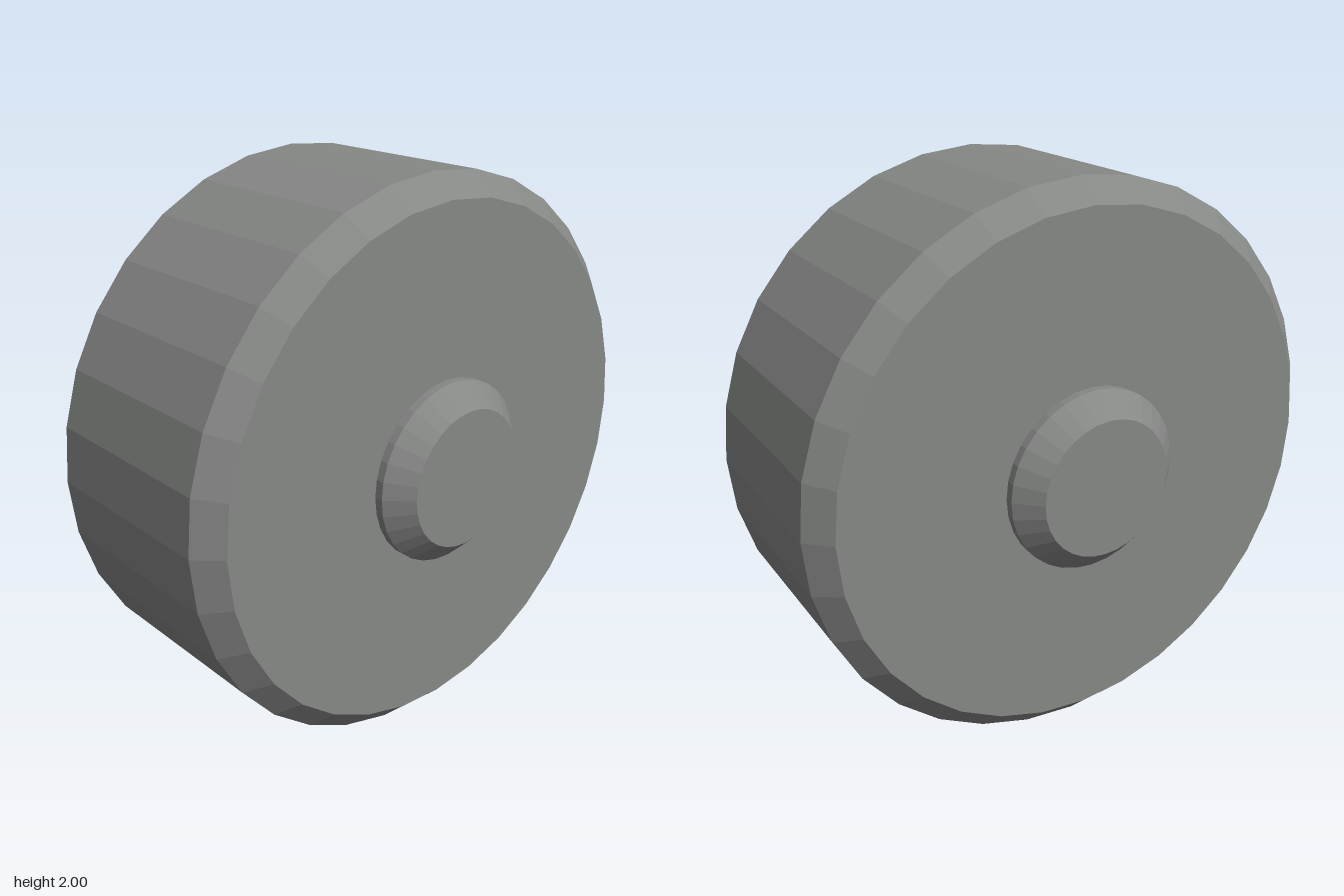
import * as THREE from 'three';

const SIDES = 32;

// Solid of revolution from [radius, height] pairs, listed bottom to top
function turned(name, profile, material) {
  const points = profile.map(([r, h]) => new THREE.Vector2(r, h));
  const mesh = new THREE.Mesh(new THREE.LatheGeometry(points, SIDES), material);
  mesh.name = name;
  return mesh;
}

export function createModel() {
  const group = new THREE.Group();
  group.name = 'wheel';

  const grey = new THREE.MeshStandardMaterial({ color: 0x868886, flatShading: true });
  grey.name = 'grey';

  // Wide wheel with chamfered rims, its axle along x
  const tyre = turned('tyre', [
    [0, -0.43], [0.92, -0.43], [1, -0.35],
    [1, 0.35], [0.92, 0.43], [0, 0.43],
  ], grey);
  tyre.rotation.z = -Math.PI / 2;
  tyre.position.y = 1;
  group.add(tyre);

  // Chamfered hub cap on each side
  for (const side of [1, -1]) {
    const hub = turned(side > 0 ? 'leftHub' : 'rightHub', [
      [0.325, 0.43], [0.325, 0.46], [0.245, 0.54], [0, 0.54],
    ], grey);
    hub.rotation.z = -side * Math.PI / 2;
    hub.position.y = 1;
    group.add(hub);
  }

  return group;
}
